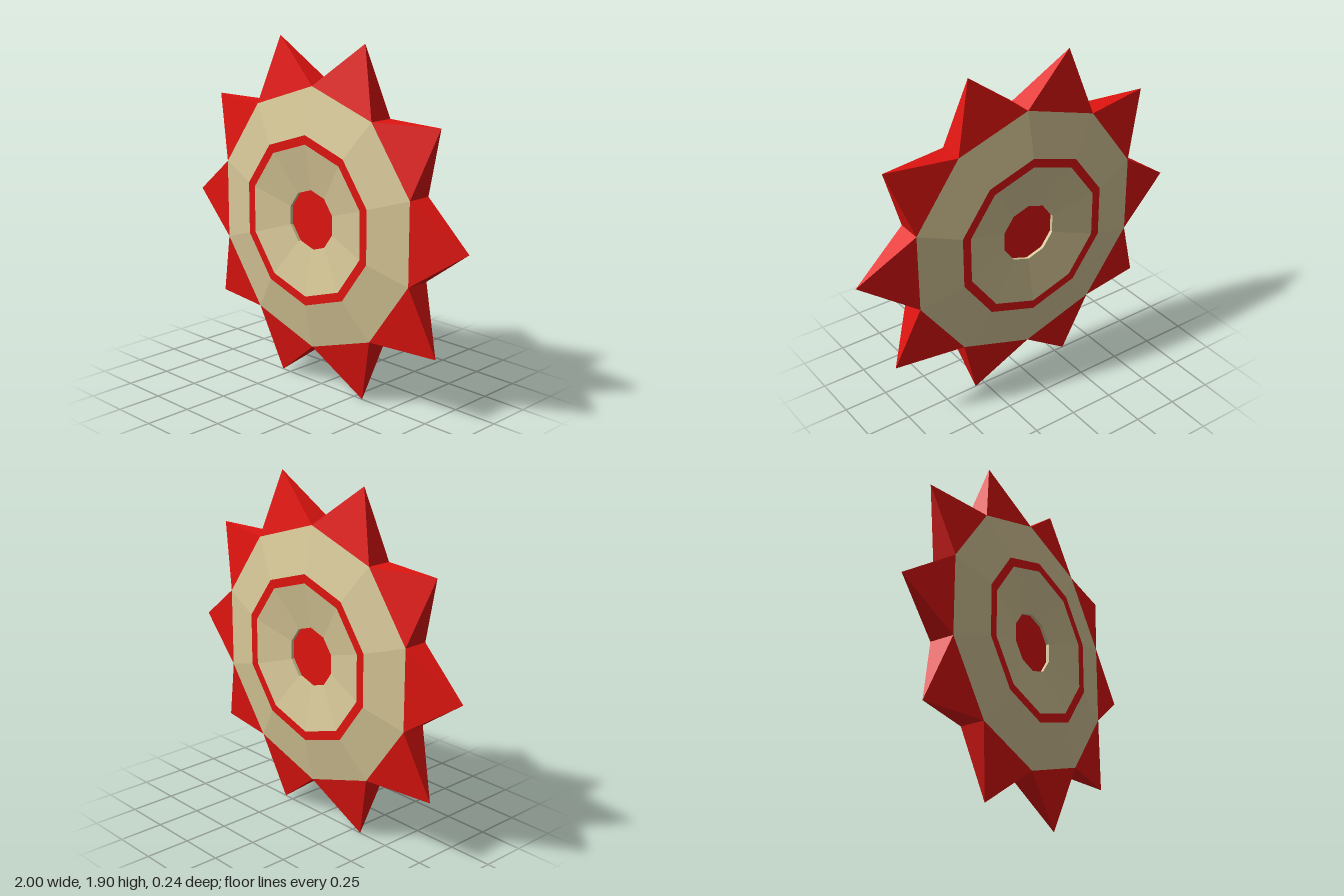
import * as THREE from 'three';

const SIDES = 10;
const STEP = (Math.PI * 2) / SIDES;
const RIM_R = 0.715, RIM_Z = 0.07, FACE_Z = 0.122, HUB_R = 0.165, HUB_Z = 0.06;

const red = new THREE.MeshStandardMaterial({ color: 0xe01410, flatShading: true });
const tan = new THREE.MeshStandardMaterial({ color: 0xd8c898, flatShading: true });

function part(name, geometry, material) {
  const flat = geometry.index ? geometry.toNonIndexed() : geometry;
  flat.computeVertexNormals();
  const mesh = new THREE.Mesh(flat, material);
  mesh.name = name;
  return mesh;
}

// Ten-sided ring swept around z from [radius, z] pairs
function ring(name, profile, material) {
  const points = profile.map(([r, z]) => new THREE.Vector2(r, z));
  return part(name, new THREE.LatheGeometry(points, SIDES).rotateX(Math.PI / 2), material);
}

// One face of the disc: sloped outer band, raised stripe, dished centre and sunken hub
function createFace(name) {
  const face = new THREE.Group();
  face.name = name;
  face.add(ring('outerBand', [[RIM_R, RIM_Z], [0.465, FACE_Z]], tan));
  face.add(ring('stripe', [[0.465, FACE_Z], [0.415, FACE_Z]], red));
  face.add(ring('dish', [[0.415, FACE_Z], [HUB_R, 0.078], [HUB_R, HUB_Z]], tan));
  const hub = new THREE.CircleGeometry(HUB_R, SIDES, Math.PI / 2).translate(0, 0, HUB_Z);
  face.add(part('hub', hub, red));
  return face;
}

export function createModel() {
  const model = new THREE.Group();
  model.name = 'spikedDisc';

  const wheel = new THREE.Group();
  wheel.name = 'wheel';
  wheel.position.y = Math.sin(STEP * 2);
  model.add(wheel);

  const back = createFace('backFace');
  back.rotation.y = Math.PI;
  wheel.add(createFace('frontFace'), back);

  // Four-sided spikes, each sitting on one side of the rim
  const inner = RIM_R * Math.cos(STEP / 2);
  const spike = new THREE.ConeGeometry(Math.SQRT2, 1 - inner, 4, 1, true)
    .rotateY(Math.PI / 4)
    .scale(RIM_R * Math.sin(STEP / 2), 1, RIM_Z)
    .translate(0, (1 + inner) / 2, 0);
  for (let i = 0; i < SIDES; i++) {
    const mesh = part('spike', spike, red);
    mesh.rotation.z = (i + 0.5) * STEP;
    wheel.add(mesh);
  }
  return model;
}
